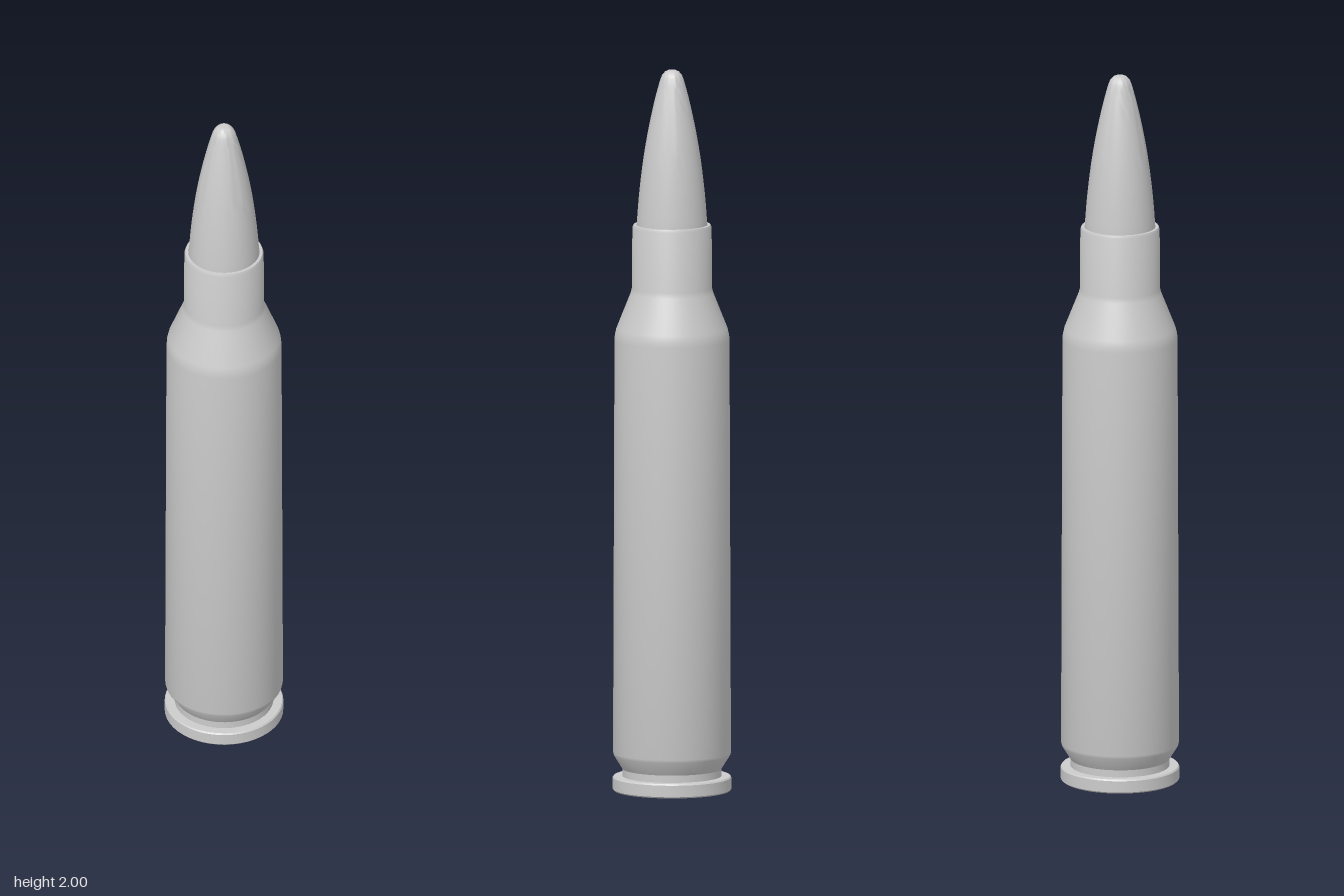
import * as THREE from 'three';
import { toCreasedNormals } from 'three/addons/utils/BufferGeometryUtils.js';

const SEGMENTS = 48;
const material = new THREE.MeshStandardMaterial({ color: 0xcccccc });

// Turns a [radius, height] profile, listed from bottom to top, round the y axis
function turned(name, profile) {
  const points = profile.map(([r, y]) => new THREE.Vector2(r, y));
  const geometry = toCreasedNormals(new THREE.LatheGeometry(points, SEGMENTS), Math.PI / 6);
  const mesh = new THREE.Mesh(geometry, material);
  mesh.name = name;
  return mesh;
}

export function createModel() {
  const group = new THREE.Group();
  group.name = 'cartridge';

  // Case: base with primer pocket, rim, extractor groove, body, shoulder, neck and mouth
  group.add(turned('case', [
    [0, 0.012], [0.052, 0.012], [0.052, 0],
    [0.159, 0], [0.163, 0.004], [0.163, 0.036], [0.16, 0.04], [0.136, 0.04],
    [0.136, 0.06], [0.16, 0.098], [0.162, 0.106],
    [0.158, 1.25], [0.157, 1.265], [0.153, 1.282],
    [0.114, 1.38], [0.11, 1.395],
    [0.109, 1.562], [0.106, 1.57], [0.098, 1.57], [0.098, 1.55],
  ]));

  // Primer: shallow disc seated in the pocket
  group.add(turned('primer', [[0, 0.003], [0.046, 0.003], [0.049, 0.006], [0.049, 0.014]]));

  // Bullet: curved ogive with a rounded tip
  const ogive = new THREE.SplineCurve([
    [0.097, 1.57], [0.091, 1.65], [0.08, 1.745], [0.066, 1.83], [0.049, 1.91], [0.036, 1.96],
  ].map(([r, y]) => new THREE.Vector2(r, y))).getPoints(14).map((p) => [p.x, p.y]);
  const tip = [[0.032, 1.974], [0.027, 1.986], [0.019, 1.995], [0.01, 1.999], [0, 2]];
  group.add(turned('bullet', [[0.097, 1.5], ...ogive, ...tip]));

  return group;
}
